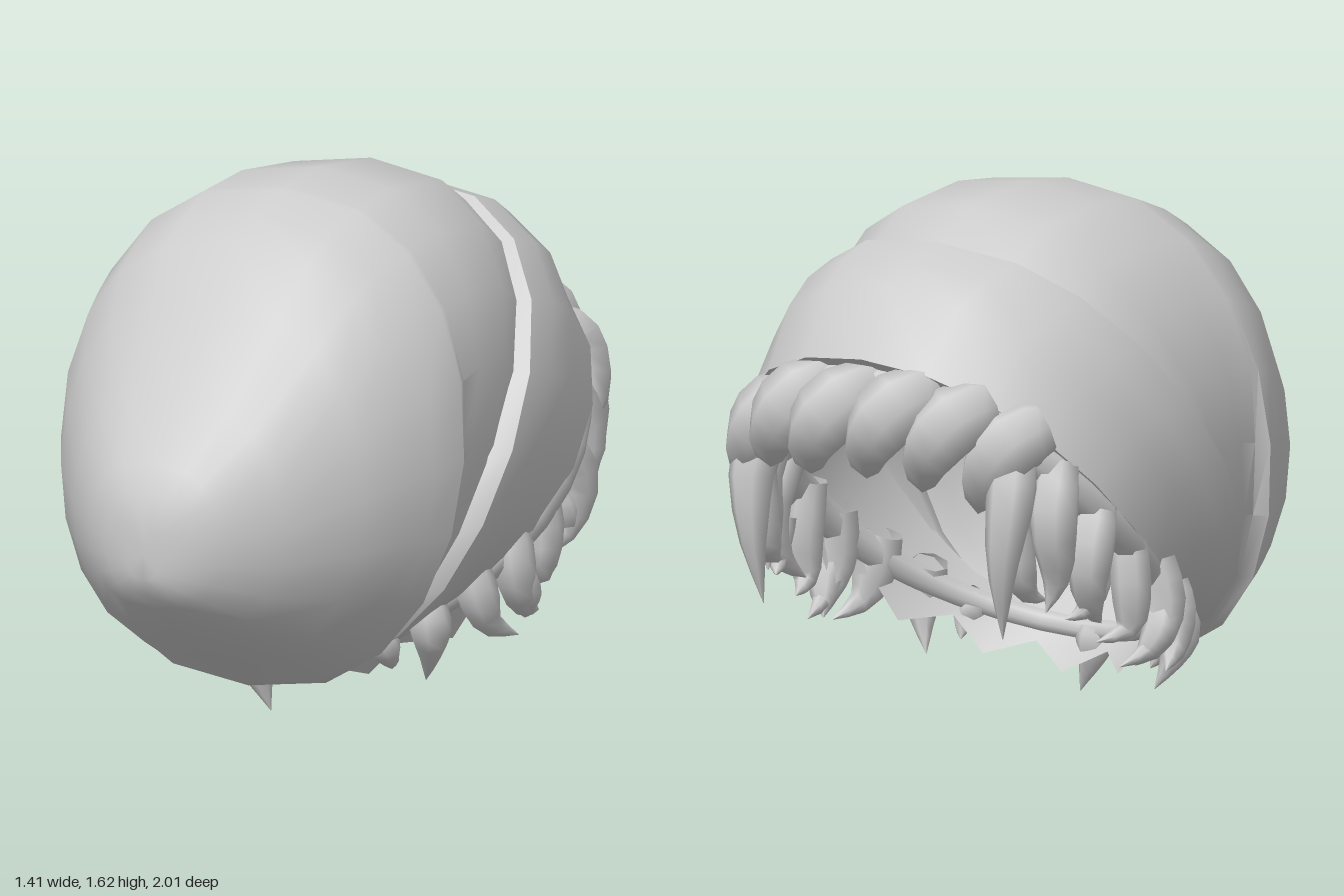
import * as THREE from 'three';
import { toCreasedNormals } from 'three/addons/utils/BufferGeometryUtils.js';

const grey = new THREE.MeshStandardMaterial({ color: 0xcccccc, side: THREE.DoubleSide });
grey.name = 'plain grey';

const SIDES = 20;

// Point on a tilted oval ring: top and bottom are [z, y], w is the half width,
// bow pushes the flanks along z, tuck draws in the lower flanks,
// power below 1 makes the oval squarer.
function ringPoint([top, bottom, w, bow = 0, tuck = 0, power = 0.8], a) {
  const c = Math.cos(a), s = Math.sin(a);
  const t = (1 + c) / 2;
  const inset = tuck * THREE.MathUtils.smoothstep(-c, -0.4, 0.1);
  return new THREE.Vector3(
    (w - inset) * Math.sign(s) * Math.pow(Math.abs(s), power),
    THREE.MathUtils.lerp(bottom[1], top[1], t),
    THREE.MathUtils.lerp(bottom[0], top[0], t) + bow * s * s * (1 - 0.4 * c)
  );
}

// Skin a list of closed loops of points
function skin(loops, crease) {
  const n = loops[0].length, pos = [], index = [];
  loops.forEach(l => l.forEach(p => pos.push(p.x, p.y, p.z)));
  for (let i = 0; i < loops.length - 1; i++) {
    for (let j = 0; j < n; j++) {
      const k = (j + 1) % n, a = i * n + j, b = i * n + k;
      index.push(a, a + n, b, b, a + n, b + n);
    }
  }
  const g = new THREE.BufferGeometry();
  g.setAttribute('position', new THREE.Float32BufferAttribute(pos, 3));
  g.setIndex(index);
  return toCreasedNormals(g, crease);
}

function loft(rings, crease) {
  return skin(rings.map(r =>
    Array.from({ length: SIDES }, (_, j) => ringPoint(r, (j / SIDES) * Math.PI * 2))), crease);
}

// Curved tuft along a few points; a higher taper gives a sharper tip
function lock(points, radius, taper) {
  const curve = new THREE.CatmullRomCurve3(points.map(p => new THREE.Vector3(...p)));
  const steps = 7, sides = 7, f = curve.computeFrenetFrames(steps, false);
  const loops = [];
  for (let i = 0; i <= steps; i++) {
    const t = i / steps, c = curve.getPoint(t);
    const r = radius * (0.75 + 0.5 * Math.sin(t * Math.PI)) * Math.pow(1 - t, taper) + 0.001;
    loops.push(Array.from({ length: sides }, (_, j) => {
      const a = (j / sides) * Math.PI * 2;
      return c.clone().addScaledVector(f.normals[i], r * Math.cos(a))
        .addScaledVector(f.binormals[i], r * Math.sin(a));
    }));
  }
  return skin(loops, 1.2);
}

export function createModel() {
  const model = new THREE.Group();
  const add = (name, geometry, parent = model) => {
    const m = new THREE.Mesh(geometry, grey);
    m.name = name;
    parent.add(m);
  };

  // Cap, with a fold on each lower flank that fades out towards the top
  add('crown', loft([
    [[1, 0.62], [1, 0.61], 0],
    [[1, 0.7], [1, 0.53], 0.06, 0, 0, 0.7],
    [[0.975, 0.79], [0.97, 0.475], 0.15, 0, 0, 0.65],
    [[0.93, 0.87], [0.93, 0.43], 0.23, 0, 0, 0.65],
    [[0.8, 1.03], [0.8, 0.33], 0.37, 0, 0, 0.67],
    [[0.6, 1.3], [0.62, 0.22], 0.53, 0, 0, 0.72],
    [[0.47, 1.46], [0.49, 0.155], 0.61, 0, 0, 0.76],
    [[0.35, 1.53], [0.43, 0.115], 0.65],
    [[0.21, 1.585], [0.4, 0.1], 0.69, -0.02],
    [[0.19, 1.59], [0.39, 0.1], 0.687, -0.03, 0.04],
    [[0, 1.615], [0.37, 0.105], 0.675, 0, 0.025],
    [[-0.3, 1.59], [0.34, 0.12], 0.665, 0.05, 0.015],
    [[-0.45, 1.5], [0.32, 0.13], 0.65, 0.08],
  ], 1.0));

  // Band: wide at the top, narrowing to the bottom, with a thick front lip
  const rim = [[-0.77, 1.15], [0.3, 0.19], 0.62, -0.1, 0, 0.95];
  add('band', loft([
    [[-0.4, 1.43], [0.33, 0.16], 0.65, 0.13],
    [[-0.47, 1.51], [0.32, 0.15], 0.705, 0.11],
    [[-0.6, 1.475], [0.315, 0.15], 0.705, 0.06, 0, 0.83],
    [[-0.72, 1.41], [0.31, 0.155], 0.69, 0, 0, 0.88],
    [[-0.86, 1.22], [0.3, 0.18], 0.665, -0.1, 0, 0.95],
    rim,
    [[-0.42, 1.38], [0.33, 0.2], 0.61, 0.05],
  ], 0.6));

  const fringe = new THREE.Group();
  fringe.name = 'fringe';
  model.add(fringe);

  // Hair roll following the rim of the opening, thickest at the top
  const N = 32, roll = [];
  const centre = new THREE.Vector3(0, 0.68, -0.26);
  const back = new THREE.Vector3(0, -0.68, -0.73);
  for (let i = 0; i <= N; i++) {
    const a = (i / N) * Math.PI * 2, p = ringPoint(rim, a);
    const inward = centre.clone().sub(p).normalize();
    const r = 0.06 + 0.025 * Math.cos(a);
    roll.push(Array.from({ length: 8 }, (_, j) => {
      const b = (j / 8) * Math.PI * 2;
      return p.clone().addScaledVector(inward, r * (Math.cos(b) + 0.2))
        .addScaledVector(back, r * (Math.sin(b) + 0.3));
    }));
  }
  add('hairRoll', skin(roll, 1.2), fringe);

  // Ragged skirt of hair along the lower rim
  const skirt = [0, 0.07, 0.17].map((d, row) => Array.from({ length: N }, (_, i) => {
    const a = (i / N) * Math.PI * 2;
    const low = THREE.MathUtils.smoothstep(-Math.cos(a), -0.3, 0.6);
    const length = row === 2 && i % 2 ? 0.08 : d;
    return ringPoint(rim, a).addScaledVector(back, length * low);
  }));
  add('raggedSkirt', skin(skirt, 0.9), fringe);

  // Broad tufts slanting over the top of the opening: x, drop, reach
  [[-0.44, 0.1, 0], [-0.29, 0.04, 0.02], [-0.12, 0.01, 0.03], [0.08, 0.02, 0.04],
    [0.26, 0.03, 0.03], [0.41, 0.1, 0.01]].forEach(([x, drop, reach]) => {
    const z = 0.7 * x * x;
    add('topTuft', lock([
      [x - 0.08, 1.14 - drop, -0.78 + z],
      [x - 0.02, 1.1 - drop, -0.86 - reach + z],
      [x + 0.05, 1.0 - drop, -0.88 - reach + z],
      [x + 0.12, 0.86 - drop, -0.84 + z],
    ], 0.11, 0.35), fringe);
  });

  // Pointed locks down both sides: path, radius
  const sideLocks = [
    [[[0.42, 1.0, -0.68], [0.46, 0.85, -0.76], [0.45, 0.62, -0.79], [0.43, 0.4, -0.76]], 0.085],
    [[[0.45, 0.8, -0.74], [0.46, 0.62, -0.72], [0.46, 0.53, -0.68], [0.48, 0.5, -0.6]], 0.06],
    [[[0.51, 0.92, -0.58], [0.53, 0.75, -0.65], [0.52, 0.58, -0.61], [0.5, 0.47, -0.64]], 0.085],
    [[[0.56, 0.78, -0.45], [0.58, 0.64, -0.53], [0.56, 0.48, -0.5], [0.53, 0.4, -0.4]], 0.08],
    [[[0.56, 0.6, -0.47], [0.57, 0.53, -0.49], [0.55, 0.46, -0.52], [0.52, 0.44, -0.57]], 0.05],
    [[[0.57, 0.68, -0.32], [0.59, 0.5, -0.33], [0.58, 0.38, -0.33], [0.54, 0.35, -0.44]], 0.07],
    [[[0.57, 0.57, -0.17], [0.59, 0.42, -0.16], [0.59, 0.31, -0.21], [0.56, 0.26, -0.35]], 0.075],
    [[[0.59, 0.42, -0.17], [0.6, 0.35, -0.2], [0.58, 0.29, -0.24], [0.56, 0.25, -0.27]], 0.06],
    [[[0.51, 0.47, -0.02], [0.54, 0.36, -0.03], [0.56, 0.27, -0.07], [0.6, 0.22, -0.17]], 0.075],
    [[[0.43, 0.37, 0.1], [0.46, 0.28, 0.11], [0.45, 0.2, 0.09], [0.41, 0.1, 0.05]], 0.075],
    [[[0.31, 0.27, 0.2], [0.34, 0.22, 0.18], [0.35, 0.18, 0.16], [0.34, 0.14, 0.13]], 0.06],
  ];
  for (const side of [1, -1]) {
    const spread = side > 0 ? 1 : 1.05;
    sideLocks.forEach(([path, r]) => add(side > 0 ? 'leftLock' : 'rightLock',
      lock(path.map(([x, y, z]) => [x * side * spread, y, z]), r, 0.7), fringe));
  }

  // Spike at the bottom centre
  add('bottomLock', lock([[-0.05, 0.2, 0.29], [-0.04, 0.12, 0.28], [0, 0, 0.27]], 0.07, 0.8), fringe);

  return model;
}
